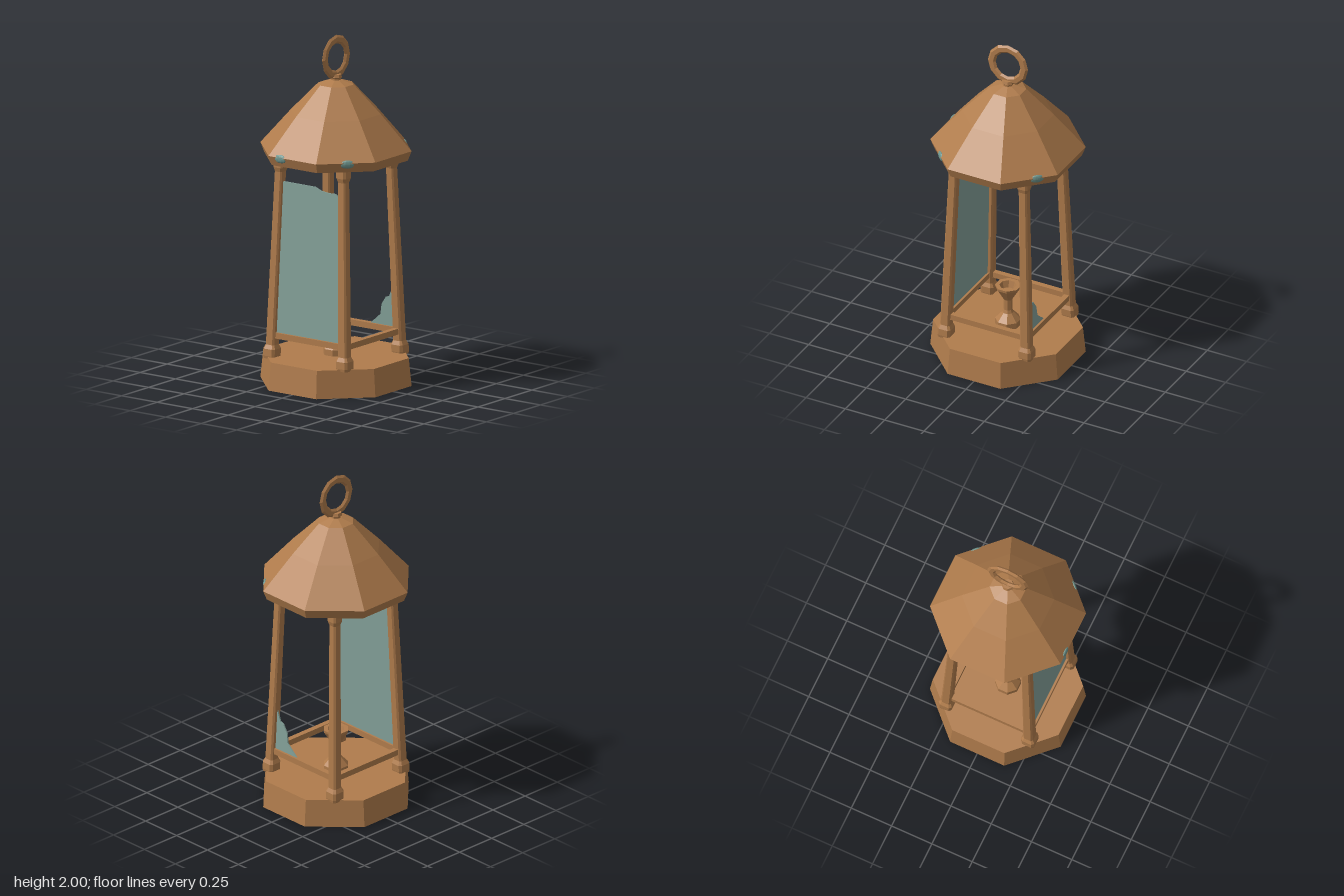
import * as THREE from 'three';

const bronze = new THREE.MeshStandardMaterial({ color: 0xb07c4c });
bronze.name = 'bronze';
const glass = new THREE.MeshStandardMaterial({ color: 0x84a199 });
glass.name = 'glass';
const patina = new THREE.MeshStandardMaterial({ color: 0x6f958d });
patina.name = 'patina';

// Faceted mesh: every triangle gets its own flat normal
function part(name, geometry, material = bronze) {
  const flat = geometry.index ? geometry.toNonIndexed() : geometry;
  flat.computeVertexNormals();
  const mesh = new THREE.Mesh(flat, material);
  mesh.name = name;
  return mesh;
}

// Octagonal turning with flats facing the axes; profile is [apothem, y], bottom to top
function octagon(name, profile) {
  const k = 1 / Math.cos(Math.PI / 8);
  const points = profile.map(([a, y]) => new THREE.Vector2(a * k, y));
  return part(name, new THREE.LatheGeometry(points, 8, Math.PI / 8));
}

// Centre line of the inward-leaning frame
const lean = y => 0.257 - (y - 0.16) * 0.0325;

// Leaning post: lofted square sections with chamfered corners
function postGeometry(sx, sz) {
  const sections = [[0.15, 0.038], [0.165, 0.041], [0.205, 0.041], [0.228, 0.03],
    [1.225, 0.026], [1.25, 0.034], [1.31, 0.034]];
  const c = 0.68;
  const outline = [[1, -c], [1, c], [c, 1], [-c, 1], [-1, c], [-1, -c], [-c, -1], [c, -1]];
  const positions = [], index = [];
  for (const [y, h] of sections) {
    for (const [x, z] of outline) positions.push(sx * lean(y) + x * h, y, sz * lean(y) + z * h);
  }
  for (let s = 0; s < sections.length - 1; s++) {
    for (let i = 0; i < 8; i++) {
      const a = s * 8 + i, b = s * 8 + (i + 1) % 8;
      index.push(a, a + 8, b, b, a + 8, b + 8);
    }
  }
  const geometry = new THREE.BufferGeometry();
  geometry.setAttribute('position', new THREE.Float32BufferAttribute(positions, 3));
  geometry.setIndex(index);
  return geometry;
}

// Broken pane: outline in x,y, pushed back to follow the lean of the frame
function pane(name, outline, side) {
  const shape = new THREE.Shape(outline.map(([x, y]) => new THREE.Vector2(x, y)));
  const geometry = new THREE.ExtrudeGeometry(shape, { depth: 0.008, bevelEnabled: false });
  const p = geometry.attributes.position;
  for (let i = 0; i < p.count; i++) {
    p.setZ(i, p.getZ(i) - 0.004 + side * lean(p.getY(i)));
  }
  return part(name, geometry, glass);
}

export function createModel() {
  const model = new THREE.Group();
  model.name = 'lantern';

  // Base plinth and roof
  model.add(octagon('base', [[0, 0], [0.405, 0], [0.39, 0.16], [0, 0.16]]));
  model.add(octagon('roof', [[0, 1.3], [0.385, 1.3], [0.405, 1.355], [0.24, 1.558],
    [0.095, 1.72], [0.03, 1.743], [0, 1.743]]));

  // Hanging ring and its collar
  model.add(octagon('ringCollar', [[0.026, 1.73], [0.026, 1.752], [0.033, 1.758],
    [0.028, 1.775], [0, 1.775]]));
  const ring = part('hangingRing', new THREE.TorusGeometry(0.103, 0.025, 6, 12));
  ring.scale.z = 0.5;
  ring.rotation.y = Math.PI / 2;
  ring.position.y = 1.873;
  model.add(ring);

  // Four corner posts
  for (const sx of [-1, 1]) {
    for (const sz of [-1, 1]) model.add(part('cornerPost', postGeometry(sx, sz)));
  }

  // Lower rails on all four sides
  for (let i = 0; i < 4; i++) {
    const rail = part('lowerRail', new THREE.BoxGeometry(0.46, 0.034, 0.032));
    const angle = i * Math.PI / 2;
    rail.rotation.y = angle;
    rail.position.set(Math.sin(angle) * lean(0.283), 0.283, Math.cos(angle) * lean(0.283));
    model.add(rail);
  }

  // Front pane with a chipped top, and a shard left at the back
  model.add(pane('frontPane', [[-0.228, 0.29], [0.228, 0.29], [0.198, 1.12], [0.188, 1.135],
    [0.17, 1.15], [0.12, 1.148], [0.07, 1.153], [0.025, 1.17], [-0.2, 1.17]], 1));
  model.add(pane('backShard', [[0.04, 0.29], [0.228, 0.29], [0.218, 0.54], [0.19, 0.475],
    [0.165, 0.465], [0.135, 0.42], [0.125, 0.36], [0.085, 0.325]], -1));

  // Candle holder with a hollow cup
  model.add(octagon('candleHolder', [[0.068, 0.155], [0.068, 0.195], [0.03, 0.24], [0.024, 0.26],
    [0.024, 0.325], [0.066, 0.4], [0.068, 0.415], [0.045, 0.415], [0.035, 0.375], [0, 0.375]]));

  // Patina spots on the roof edge: face angle and sideways offset
  for (const [angle, offset] of [[0, -0.09], [Math.PI / 4, 0.01], [Math.PI * 0.75, 0.05]]) {
    const holder = new THREE.Group();
    holder.name = 'patinaSpot';
    holder.rotation.y = angle;
    const spot = part('spot', new THREE.SphereGeometry(1, 10, 8), patina);
    spot.scale.set(0.043, 0.024, 0.012);
    spot.position.set(offset, 1.347, 0.396);
    holder.add(spot);
    model.add(holder);
  }

  return model;
}
